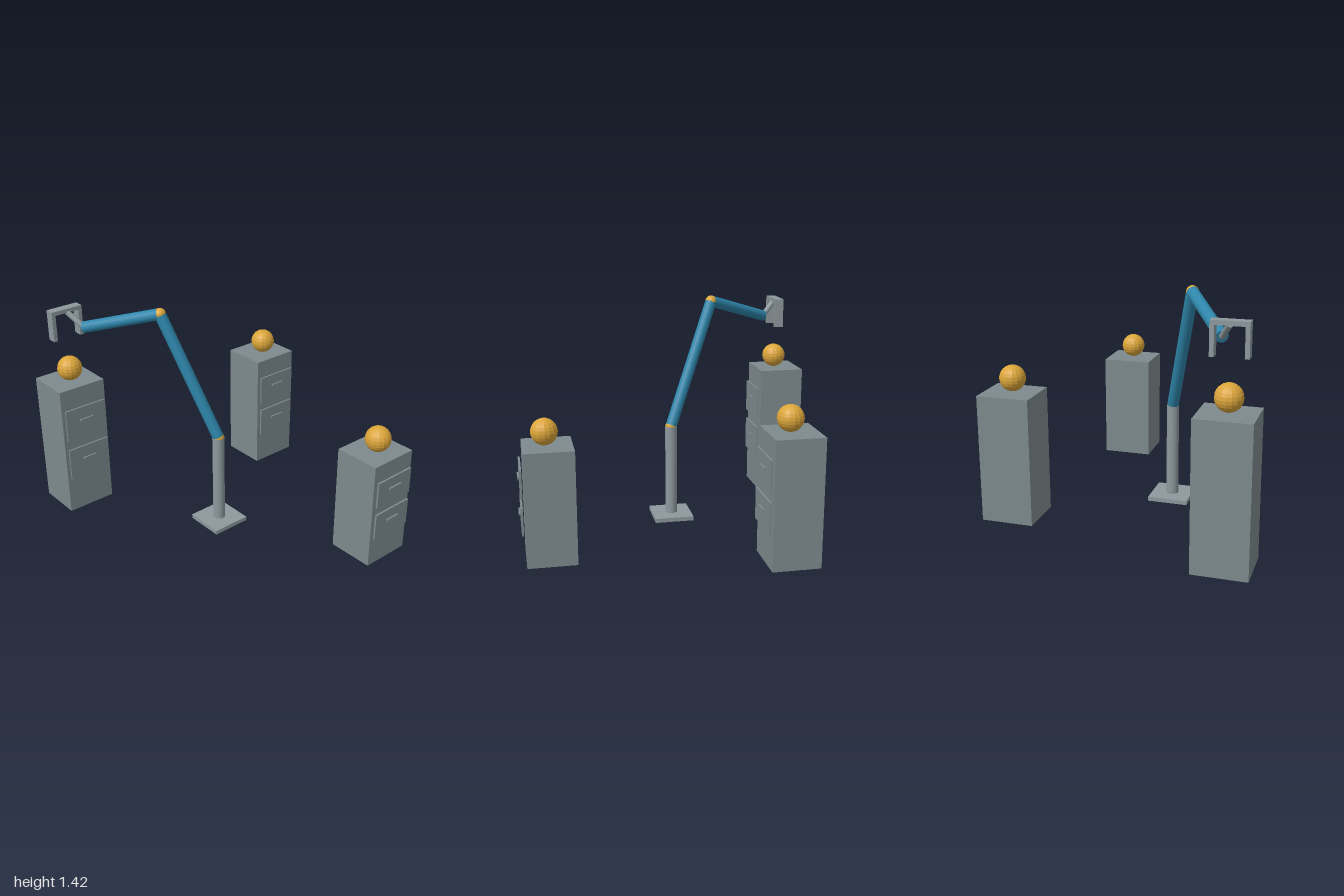
import * as THREE from 'three';

const material = (name, color, flatShading = false) => {
  const m = new THREE.MeshStandardMaterial({ color, flatShading });
  m.name = name;
  return m;
};

export function createModel() {
  const model = new THREE.Group();
  model.name = 'robotArmWithCabinets';
  const cabinetGrey = material('cabinetGrey', 0x7d8a8e);
  const metalGrey = material('metalGrey', 0x8d989d);
  const armBlue = material('armBlue', 0x2e86ab);
  const amber = material('amber', 0xdba53a, true);

  const add = (parent, name, geometry, mat, x, y, z) => {
    const mesh = new THREE.Mesh(geometry, mat);
    mesh.name = name;
    mesh.position.set(x, y, z);
    parent.add(mesh);
    return mesh;
  };
  const box = (parent, name, mat, w, h, d, x, y, z) =>
    add(parent, name, new THREE.BoxGeometry(w, h, d), mat, x, y, z);
  const ball = (parent, name, r, x, y, z) =>
    add(parent, name, new THREE.SphereGeometry(r, 16, 12), amber, x, y, z);

  // Cylinder running between two points
  const rod = (parent, name, mat, r, from, to) => {
    const dir = to.clone().sub(from);
    const mid = from.clone().add(to).multiplyScalar(0.5);
    const mesh = add(parent, name, new THREE.CylinderGeometry(r, r, dir.length(), 24), mat, mid.x, mid.y, mid.z);
    mesh.quaternion.setFromUnitVectors(new THREE.Vector3(0, 1, 0), dir.normalize());
    return mesh;
  };

  // Cabinets: body, two drawers with handles, a ball on top
  const cabinet = (name, x, z, h) => {
    const g = new THREE.Group();
    g.name = name;
    g.position.set(x, 0, z);
    box(g, 'cabinetBody', cabinetGrey, 0.32, h, 0.292, 0, h / 2, 0);
    [0.725, 0.405].forEach((level, i) => {
      const drawer = i ? 'lowerDrawer' : 'upperDrawer';
      box(g, drawer, cabinetGrey, 0.284, h * 0.247, 0.012, 0, h * level, 0.161);
      box(g, drawer + 'Handle', cabinetGrey, 0.096, 0.014, 0.012, 0, h * (level + 0.022), 0.172);
    });
    ball(g, 'ball', 0.079, 0, h + 0.08, 0.015);
    model.add(g);
  };
  cabinet('tallCabinet', -0.681, -0.854, 0.868);
  cabinet('mediumCabinet', 0.68, -0.538, 0.779);
  cabinet('shortCabinet', 0.363, 0.822, 0.686);

  // Arm: base, column, two links with joints, and the wrist
  const arm = new THREE.Group();
  arm.name = 'robotArm';
  model.add(arm);
  const foot = new THREE.Vector3(-0.159, 0.025, 0);
  const shoulder = new THREE.Vector3(-0.159, 0.61, 0);
  const elbow = new THREE.Vector3(-0.348, 1.386, -0.302);
  const wrist = new THREE.Vector3(-0.615, 1.24, -0.733);
  const palm = new THREE.Vector3(-0.672, 1.327, -0.822);
  box(arm, 'basePlate', metalGrey, 0.25, 0.027, 0.25, -0.159, 0.0135, 0);
  rod(arm, 'column', metalGrey, 0.038, foot, shoulder);
  ball(arm, 'shoulderJoint', 0.037, shoulder.x, shoulder.y, shoulder.z);
  rod(arm, 'upperArm', armBlue, 0.036, shoulder, elbow);
  ball(arm, 'elbowJoint', 0.037, elbow.x, elbow.y, elbow.z);
  rod(arm, 'forearm', armBlue, 0.036, elbow, wrist);
  rod(arm, 'wristRod', metalGrey, 0.018, wrist, palm);

  // Gripper: cross bar with two hanging fingers
  const gripper = new THREE.Group();
  gripper.name = 'gripper';
  gripper.position.set(-0.681, 1.341, -0.838);
  arm.add(gripper);
  box(gripper, 'gripperBar', metalGrey, 0.21, 0.026, 0.06, 0, 0, 0);
  for (const side of [-1, 1]) {
    box(gripper, side > 0 ? 'leftFinger' : 'rightFinger', metalGrey, 0.025, 0.167, 0.06, side * 0.0925, -0.0955, 0);
  }

  return model;
}
